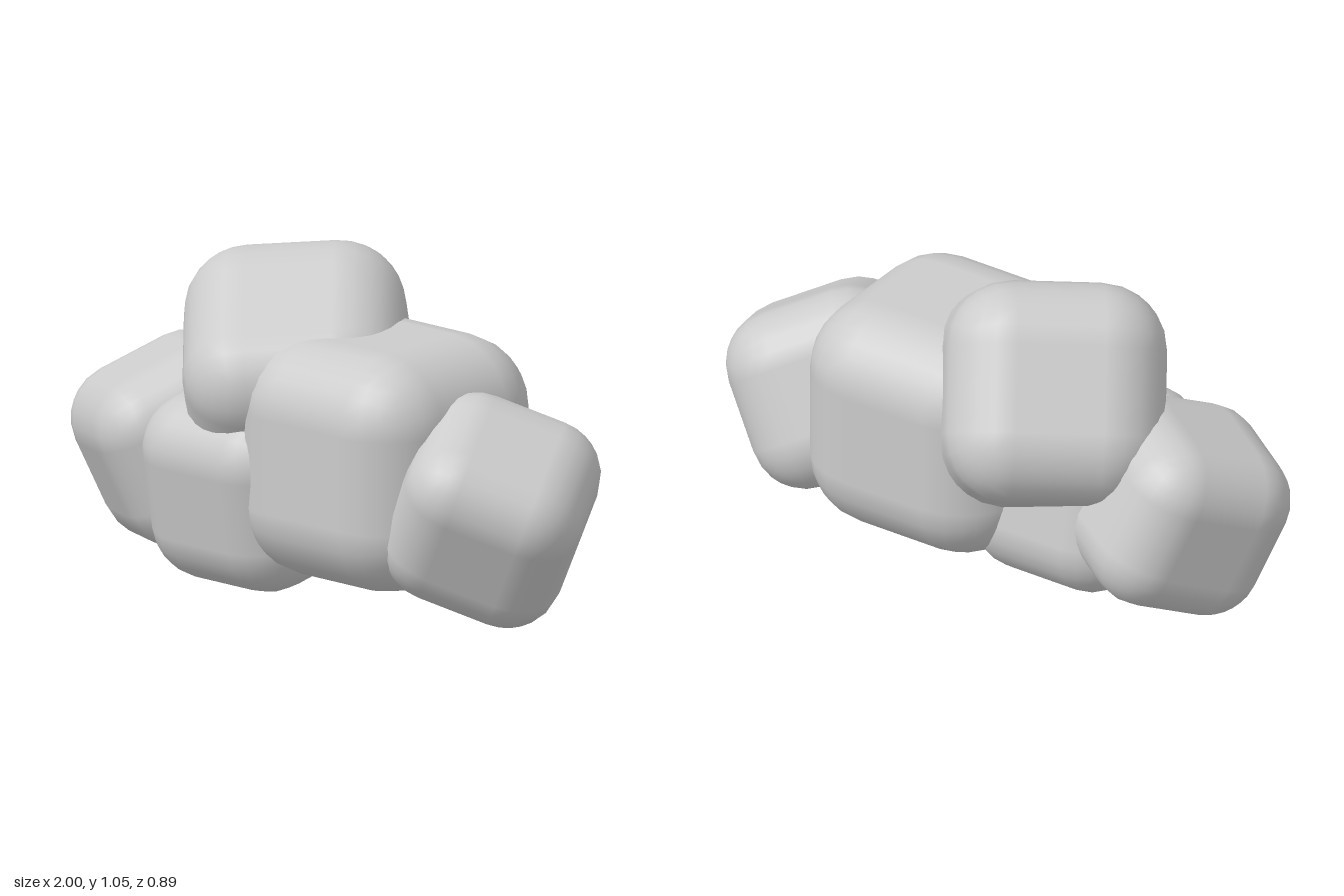
import * as THREE from 'three';
import { RoundedBoxGeometry } from 'three/addons/geometries/RoundedBoxGeometry.js';

const material = new THREE.MeshStandardMaterial({ color: 0xcccccc });

// Rounded cube: centre, half size and the directions of its own x and y axes
function boulder(name, centre, half, xAxis, yAxis) {
  const size = half * 2;
  const mesh = new THREE.Mesh(new RoundedBoxGeometry(size, size, size, 3, half * 0.605), material);
  const x = new THREE.Vector3(...xAxis).normalize();
  const z = new THREE.Vector3().crossVectors(x, new THREE.Vector3(...yAxis)).normalize();
  const y = new THREE.Vector3().crossVectors(z, x);
  mesh.quaternion.setFromRotationMatrix(new THREE.Matrix4().makeBasis(x, y, z));
  mesh.position.set(...centre);
  mesh.name = name;
  return mesh;
}

export function createModel() {
  const group = new THREE.Group();
  group.name = 'boulderCluster';
  group.add(
    // Large upright block in the middle
    boulder('mainBoulder', [0.18, 0.468, 0.04], 0.378, [1, 0, 0], [0, 1, 0]),
    // Tilted block resting on top
    boulder('topBoulder', [-0.22, 0.648, 0], 0.345, [0.55, -0.55, 0.626], [0.297, 0.829, 0.467]),
    // Tilted blocks at both ends
    boulder('leftBoulder', [0.64, 0.375, 0.06], 0.287, [0.75, -0.35, -0.56], [0.5, 0.85, 0.17]),
    boulder('rightBoulder', [-0.647, 0.373, 0.06], 0.285, [0.85, 0.12, 0.52], [-0.3, 0.91, 0.28]),
    // Low block under the top one
    boulder('baseBoulder', [-0.28, 0.325, 0.11], 0.302, [1, 0, 0], [0, 0.98, 0.18]),
  );
  return group;
}
